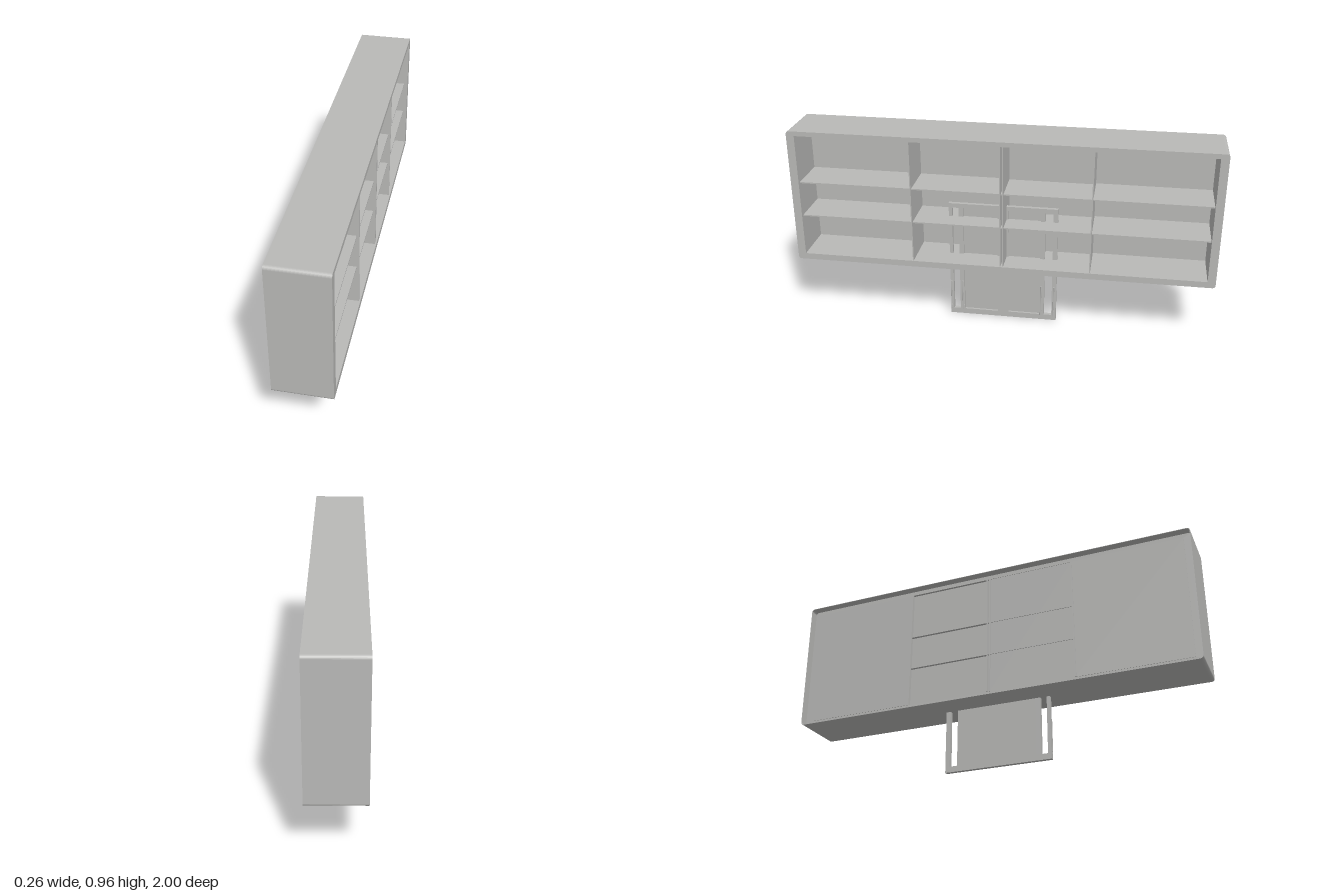
import * as THREE from 'three';

export function createModel() {
  const root = new THREE.Group();
  const grey = new THREE.MeshStandardMaterial({ color: 0xb9b9b7 });

  const add = (name, geometry, parent = root) => {
    const mesh = new THREE.Mesh(geometry, grey);
    mesh.name = name;
    parent.add(mesh);
    return mesh;
  };
  // Box given by its limits on each axis
  const box = (name, x0, x1, y0, y1, z0, z1, parent) =>
    add(name, new THREE.BoxGeometry(x1 - x0, y1 - y0, z1 - z0), parent)
      .position.set((x0 + x1) / 2, (y0 + y1) / 2, (z0 + z1) / 2);

  // Rectangle outline in the side plane, with optional rounded corners
  const outline = (path, z0, z1, y0, y1, r = 0) => {
    const a = -z1, b = -z0;
    if (!r) {
      path.moveTo(a, y0).lineTo(b, y0).lineTo(b, y1).lineTo(a, y1).closePath();
      return path;
    }
    path.moveTo(a + r, y0);
    path.lineTo(b - r, y0);
    path.absarc(b - r, y0 + r, r, -Math.PI / 2, 0);
    path.lineTo(b, y1 - r);
    path.absarc(b - r, y1 - r, r, 0, Math.PI / 2);
    path.lineTo(a + r, y1);
    path.absarc(a + r, y1 - r, r, Math.PI / 2, Math.PI);
    path.lineTo(a, y0 + r);
    path.absarc(a + r, y0 + r, r, Math.PI, Math.PI * 1.5);
    return path;
  };
  // Frame with holes, extruded from x0 to x1
  const frame = (name, x0, x1, outer, holes, parent) => {
    const shape = outline(new THREE.Shape(), ...outer);
    holes.forEach((h) => shape.holes.push(outline(new THREE.Path(), ...h)));
    const g = new THREE.ExtrudeGeometry(shape, { depth: x1 - x0, bevelEnabled: false, curveSegments: 6 });
    g.rotateY(Math.PI / 2).translate(x0, 0, 0);
    return add(name, g, parent);
  };

  // Cabinet carcass: thick frame in front, thin lip around the recessed back
  const cabinet = new THREE.Group();
  cabinet.name = 'cabinet';
  root.add(cabinet);
  const outer = [-1, 1, 0.305, 0.96, 0.015];
  frame('carcass', -0.09, 0.13, outer, [[-0.962, 0.962, 0.335, 0.938]], cabinet);
  frame('backLip', -0.13, -0.09, outer, [[-0.998, 0.998, 0.307, 0.958, 0.013]], cabinet);

  // Four bays with thin back panels and two shelves each; the inner backs sit deeper
  const bays = [[-0.962, -0.42, 0], [-0.42, 0, 0.014], [0, 0.42, 0.004], [0.42, 0.962, 0]];
  for (const [z0, z1, inset] of bays) {
    box('backPanel', -0.092 + inset, -0.086 + inset, 0.335, 0.938, z0, z1, cabinet);
    for (const y of [0.53, 0.7]) box('shelf', -0.091, 0.112, y - 0.003, y + 0.003, z0, z1, cabinet);
  }
  // Thin partitions, doubled in the middle
  for (const z of [-0.42, -0.009, 0.004, 0.425])
    box('partition', -0.094, 0.124, 0.335, 0.938, z - 0.0025, z + 0.0025, cabinet);

  // Door frame standing through the cabinet floor
  const door = new THREE.Group();
  door.name = 'door';
  root.add(door);
  const y0 = 0.028, y1 = 0.578;
  frame('doorFrame', 0, 0.018, [-0.258, 0.268, 0, 0.6], [
    [0.22, 0.252, y0, y1], [0.032, 0.198, y0, y1],
    [-0.176, -0.021, y0, y1], [-0.236, -0.198, y0, y1],
  ], door);
  box('doorPanel', 0, 0.008, y0, y1, 0.032, 0.198, door);
  box('doorPanel', 0, 0.008, y0, y1, -0.176, -0.021, door);

  // Slim pull handles on two standoffs
  for (const z of [0.261, 0.203, -0.184, -0.247]) {
    const handle = new THREE.Group();
    handle.name = 'handle';
    handle.position.z = z;
    door.add(handle);
    add('grip', new THREE.CylinderGeometry(0.003, 0.003, 0.16, 10), handle).position.set(0.036, 0.113, 0);
    for (const y of [0.048, 0.178]) {
      const post = add('standoff', new THREE.CylinderGeometry(0.0025, 0.0025, 0.02, 10), handle);
      post.rotation.z = Math.PI / 2;
      post.position.set(0.026, y, 0);
    }
  }
  return root;
}
